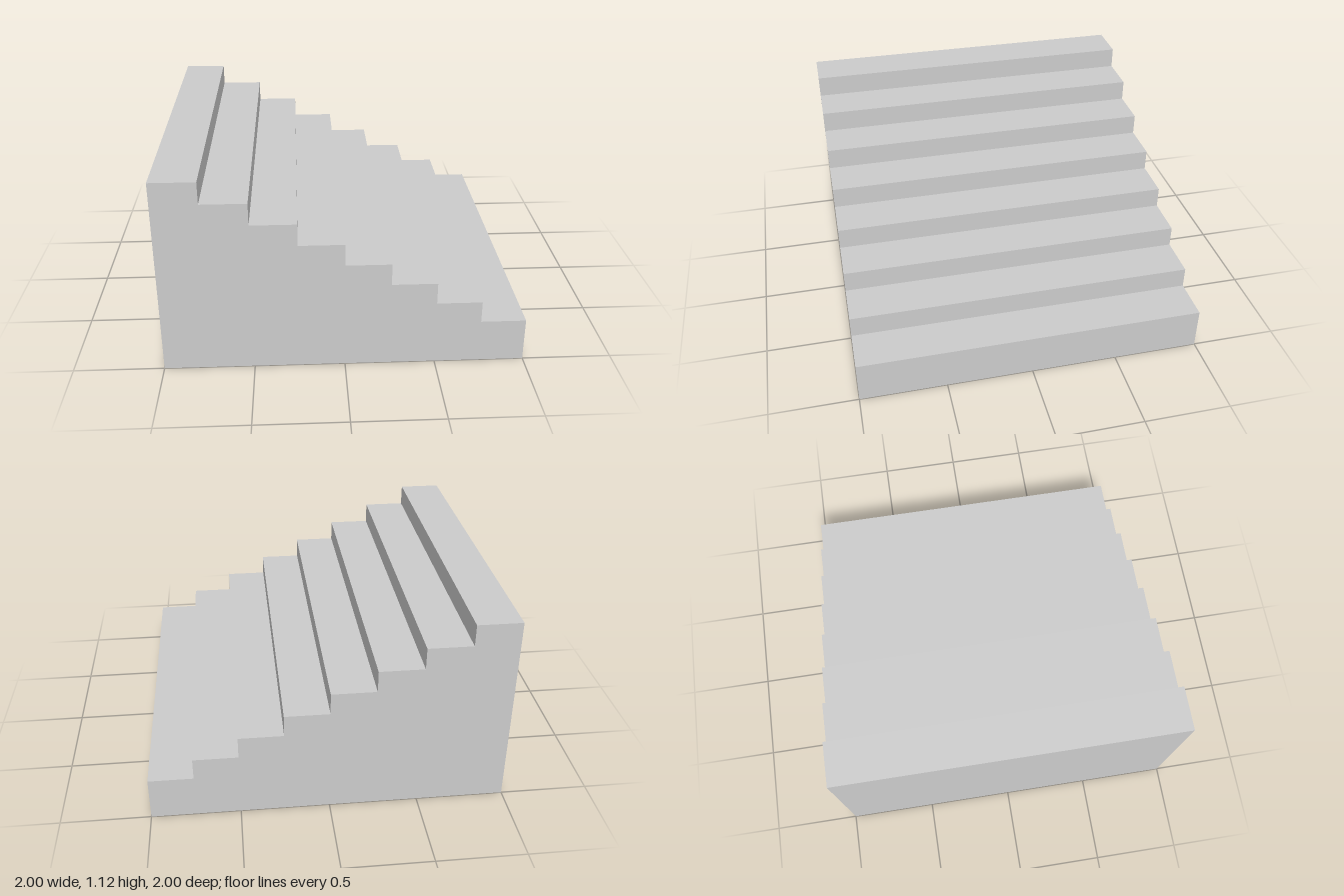
import * as THREE from 'three';

const STEPS = 8;
const TREAD = 0.25;   // depth of each step along x
const RISE = 0.125;   // height gained per step
const BASE = 0.25;    // height of the lowest step
const WIDTH = 2;      // stair width along z

export function createModel() {
  const group = new THREE.Group();
  group.name = 'staircase';

  // Solid stepped profile, climbing from +x to -x
  const profile = new THREE.Shape();
  profile.moveTo(-1, 0);
  profile.lineTo(1, 0);
  for (let i = 0; i < STEPS; i++) {
    const y = BASE + i * RISE;
    profile.lineTo(1 - i * TREAD, y);
    profile.lineTo(1 - (i + 1) * TREAD, y);
  }
  profile.closePath();

  // Extrude across the width and centre on z
  const geometry = new THREE.ExtrudeGeometry(profile, { depth: WIDTH, bevelEnabled: false });
  geometry.translate(0, 0, -WIDTH / 2);

  const material = new THREE.MeshStandardMaterial({ color: 0xcccccc, flatShading: true });
  const steps = new THREE.Mesh(geometry, material);
  steps.name = 'steps';
  group.add(steps);
  return group;
}
